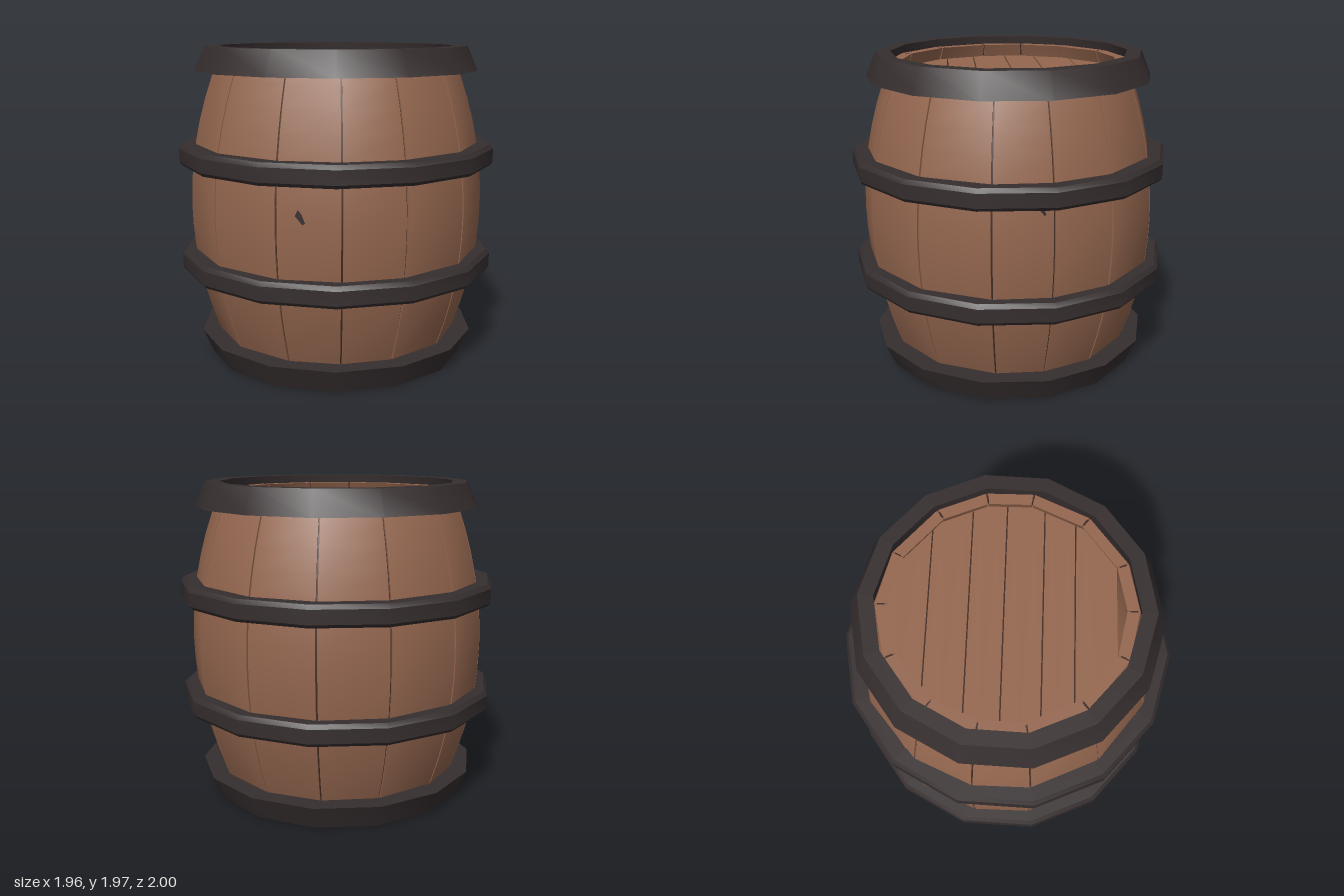
import * as THREE from 'three';
import { toCreasedNormals } from 'three/addons/utils/BufferGeometryUtils.js';

const wood = new THREE.MeshStandardMaterial({ color: 0x95674f });
wood.name = 'warm brown wood';
const iron = new THREE.MeshStandardMaterial({ color: 0x362e2f });
iron.name = 'dark iron';
const seam = new THREE.MeshStandardMaterial({ color: 0x402a22 });
seam.name = 'dark seam';

const MID = 0.985, BULGE = 0.227, Y0 = 0.05, Y1 = 1.92, ROWS = 14;
const bellyRadius = (y) => 0.93 - BULGE * (y - MID) ** 2;
const rad = THREE.MathUtils.degToRad;

function addMesh(parent, name, geometry, material) {
  const mesh = new THREE.Mesh(geometry, material);
  mesh.name = name;
  parent.add(mesh);
  return mesh;
}

// Curved plank between two angles: a four-cornered section swept up the belly
function staveGeometry(a0, a1, inset, thickness) {
  const pos = [], nor = [], idx = [];
  const corner = (a, y, depth) => {
    const r = bellyRadius(y) - inset - depth;
    return [r * Math.sin(a), y, r * Math.cos(a)];
  };
  const push = (p, n) => { pos.push(...p); nor.push(...n); };
  const belly = (a, y, s) => new THREE.Vector3(Math.sin(a), 2 * BULGE * (y - MID), Math.cos(a))
    .normalize().multiplyScalar(s).toArray();
  const side = (a, s) => () => [s * Math.cos(a), 0, -s * Math.sin(a)];
  const strips = [
    [a0, 0, a1, 0, (a, y) => belly(a, y, 1)],
    [a1, 0, a1, thickness, side(a1, 1)],
    [a1, thickness, a0, thickness, (a, y) => belly(a, y, -1)],
    [a0, thickness, a0, 0, side(a0, -1)],
  ];
  for (const [aL, dL, aR, dR, normal] of strips) {
    const base = pos.length / 3;
    for (let i = 0; i <= ROWS; i++) {
      const y = Y0 + (Y1 - Y0) * i / ROWS;
      push(corner(aL, y, dL), normal(aL, y));
      push(corner(aR, y, dR), normal(aR, y));
      if (i < ROWS) {
        const k = base + i * 2;
        idx.push(k, k + 1, k + 3, k, k + 3, k + 2);
      }
    }
  }
  for (const [y, s] of [[Y0, -1], [Y1, 1]]) {
    const k = pos.length / 3;
    for (const [a, d] of [[a0, 0], [a1, 0], [a1, thickness], [a0, thickness]]) push(corner(a, y, d), [0, s, 0]);
    if (s > 0) idx.push(k, k + 1, k + 2, k, k + 2, k + 3);
    else idx.push(k, k + 2, k + 1, k, k + 3, k + 2);
  }
  const g = new THREE.BufferGeometry();
  g.setAttribute('position', new THREE.Float32BufferAttribute(pos, 3));
  g.setAttribute('normal', new THREE.Float32BufferAttribute(nor, 3));
  g.setIndex(idx);
  return g;
}

// Fourteen-sided hoop from a closed section, listed with its outside going up
function hoopGeometry(section) {
  const points = [...section, section[0]].map(([r, y]) => new THREE.Vector2(r, y));
  return toCreasedNormals(new THREE.LatheGeometry(points, 14, rad(-2)), rad(32));
}

// Board of a round lid between two z positions, with curved ends
function boardGeometry(z0, z1, radius, thickness) {
  const half = (z) => Math.sqrt(Math.max(0, radius * radius - z * z));
  const zs = [0, 1, 2, 3, 4].map((i) => z0 + (z1 - z0) * i / 4);
  const outline = [
    ...zs.map((z) => new THREE.Vector2(-half(z), -z)),
    ...zs.reverse().map((z) => new THREE.Vector2(half(z), -z)),
  ];
  const g = new THREE.ExtrudeGeometry(new THREE.Shape(outline), { depth: thickness, bevelEnabled: false });
  return g.rotateX(-Math.PI / 2);
}

export function createModel() {
  const barrel = new THREE.Group();
  barrel.name = 'barrel';

  // Staves of slightly uneven width, with dark seams between them
  const half = [0, 23.3, 51.7, 79.5, 101.3, 125.2, 154, 180];
  const joints = [...half.slice(1, -1).reverse().map((d) => -d), ...half].map(rad);
  const staves = new THREE.Group();
  staves.name = 'staves';
  barrel.add(staves);
  const gap = 0.006;
  joints.forEach((a, i) => {
    const next = i + 1 < joints.length ? joints[i + 1] : joints[0] + Math.PI * 2;
    addMesh(staves, 'stave', staveGeometry(a + gap, next - gap, 0, 0.07), wood);
    addMesh(staves, 'staveSeam', staveGeometry(a - gap * 1.5, a + gap * 1.5, 0.014, 0.04), seam);
  });

  // Flared end hoops
  addMesh(barrel, 'topHoop', hoopGeometry([[0.755, 1.82], [0.89, 1.82], [0.825, 1.97], [0.735, 1.97]]), iron);
  addMesh(barrel, 'bottomHoop', hoopGeometry([[0.735, 0], [0.825, 0], [0.89, 0.15], [0.755, 0.15]]), iron);

  // Belly hoops with softened outer edges
  for (const [name, y] of [['upperBellyHoop', 1.305], ['lowerBellyHoop', 0.63]]) {
    const hoop = addMesh(barrel, name, hoopGeometry([
      [0.885, -0.065], [0.985, -0.065], [1.0, -0.045], [1.0, 0.04], [0.98, 0.065], [0.885, 0.065],
    ]), iron);
    hoop.position.y = y;
  }

  // Recessed lids made of boards, ending short of the front wall
  const cuts = [-0.7, -0.45, -0.22, -0.02, 0.2, 0.38, 0.62];
  for (const [name, y] of [['topLid', 1.8], ['bottomLid', 0.13]]) {
    const lid = new THREE.Group();
    lid.name = name;
    lid.position.y = y;
    barrel.add(lid);
    for (let i = 0; i + 1 < cuts.length; i++) {
      addMesh(lid, 'lidBoard', boardGeometry(cuts[i] + 0.004, cuts[i + 1] - 0.004, 0.715, 0.04), wood);
      if (i > 0) {
        const strip = addMesh(lid, 'lidSeam', boardGeometry(cuts[i] - 0.005, cuts[i] + 0.005, 0.7, 0.02), seam);
        strip.position.y = 0.01;
      }
    }
  }

  // Small dark chips in the wood
  const chip = new THREE.ShapeGeometry(new THREE.Shape([
    [-0.03, 0.01], [-0.012, 0.045], [0.008, 0.02], [0.028, -0.03], [0.012, -0.04], [-0.01, -0.012],
  ].map(([x, y]) => new THREE.Vector2(x, y))));
  for (const [deg, x, y, out, size] of [[-11.65, -0.047, 1.06, 0.915, 1], [90.4, 0.11, 1.215, 0.909, 0.6]]) {
    const holder = new THREE.Group();
    holder.name = 'chipHolder';
    holder.rotation.y = rad(deg);
    barrel.add(holder);
    const mark = addMesh(holder, 'chip', chip, iron);
    mark.position.set(x, y, out);
    mark.scale.setScalar(size);
  }
  return barrel;
}
